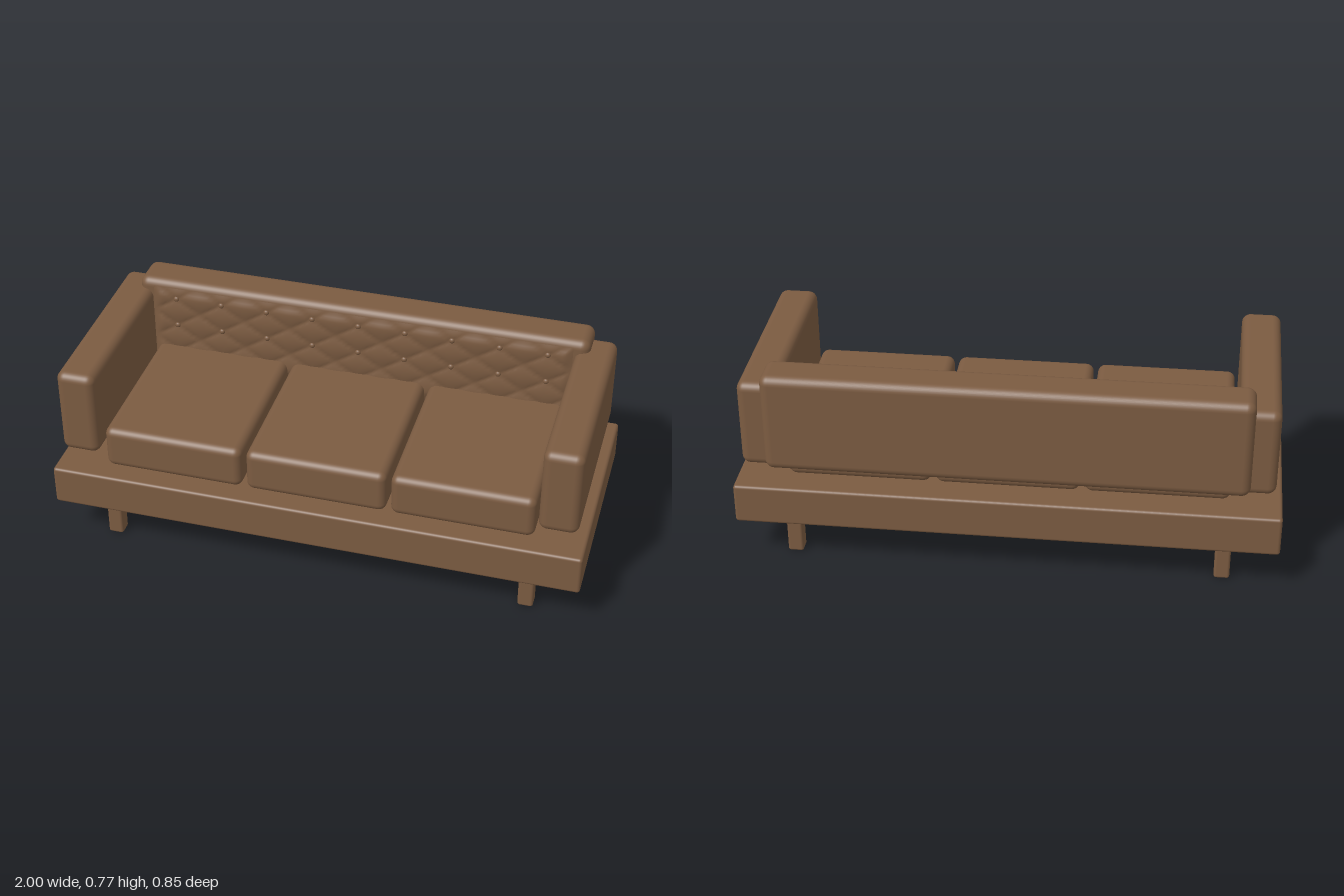
import * as THREE from 'three';
import { RoundedBoxGeometry } from 'three/addons/geometries/RoundedBoxGeometry.js';

export function createModel() {
  const sofa = new THREE.Group();
  sofa.name = 'sofa';
  const leather = new THREE.MeshStandardMaterial({ color: 0x7b5b41 });
  leather.name = 'brown leather';

  const add = (name, geometry, x = 0, y = 0, z = 0) => {
    const mesh = new THREE.Mesh(geometry, leather);
    mesh.name = name;
    mesh.position.set(x, y, z);
    sofa.add(mesh);
    return mesh;
  };

  // Rounded block given by its extents
  const block = (name, [x0, x1], [y0, y1], [z0, z1], radius) =>
    add(name, new RoundedBoxGeometry(x1 - x0, y1 - y0, z1 - z0, 4, radius),
      (x0 + x1) / 2, (y0 + y1) / 2, (z0 + z1) / 2);

  // Platform
  block('platform', [-1, 1], [0.168, 0.323], [-0.427, 0.427], 0.012);

  // Legs and arms, mirrored
  for (const s of [-1, 1]) {
    const side = s > 0 ? 'left' : 'right';
    for (const z of [-0.325, 0.325]) {
      const leg = `${side}${z > 0 ? 'Front' : 'Back'}Leg`;
      block(leg, [s * 0.798 - 0.029, s * 0.798 + 0.029], [0, 0.18], [z - 0.029, z + 0.029], 0.01);
    }
    block(`${side}Arm`, [s * 0.898 - 0.073, s * 0.898 + 0.073], [0.39, 0.73], [-0.382, 0.385], 0.032);
  }

  // Seat cushions
  for (const x of [-0.547, 0, 0.547]) {
    block('seatCushion', [x - 0.265, x + 0.265], [0.322, 0.49], [-0.327, 0.355], 0.03);
  }

  // Backrest
  block('backrest', [-0.88, 0.88], [0.39, 0.775], [-0.41, -0.255], 0.034);

  // Tufted panel: shallow folds run diagonally between the buttons
  const stepX = 0.182, stepY = 0.118, topRow = 0.705;
  const width = 1.64, height = 0.33, midY = 0.583;
  const panel = new THREE.PlaneGeometry(width, height, 180, 36);
  const p = panel.attributes.position;
  for (let i = 0; i < p.count; i++) {
    const x = p.getX(i), y = p.getY(i);
    const u = x / stepX, v = (y + midY - topRow) / stepY;
    const fold = Math.sqrt(Math.abs(Math.sin(Math.PI * (u - v)) * Math.sin(Math.PI * (u + v))));
    const edge = Math.min(1, (width / 2 - Math.abs(x)) / 0.03, (height / 2 - Math.abs(y)) / 0.03);
    p.setZ(i, edge * (0.003 + 0.009 * fold));
  }
  panel.computeVertexNormals();
  add('tuftedPanel', panel, 0, midY, -0.2545);

  // Buttons
  const button = new THREE.SphereGeometry(0.011, 14, 10);
  for (let row = 0; row < 3; row++) {
    for (let col = -4; col <= 4; col++) {
      add('button', button, col * stepX, topRow - row * stepY, -0.25).scale.z = 0.75;
    }
  }

  return sofa;
}
